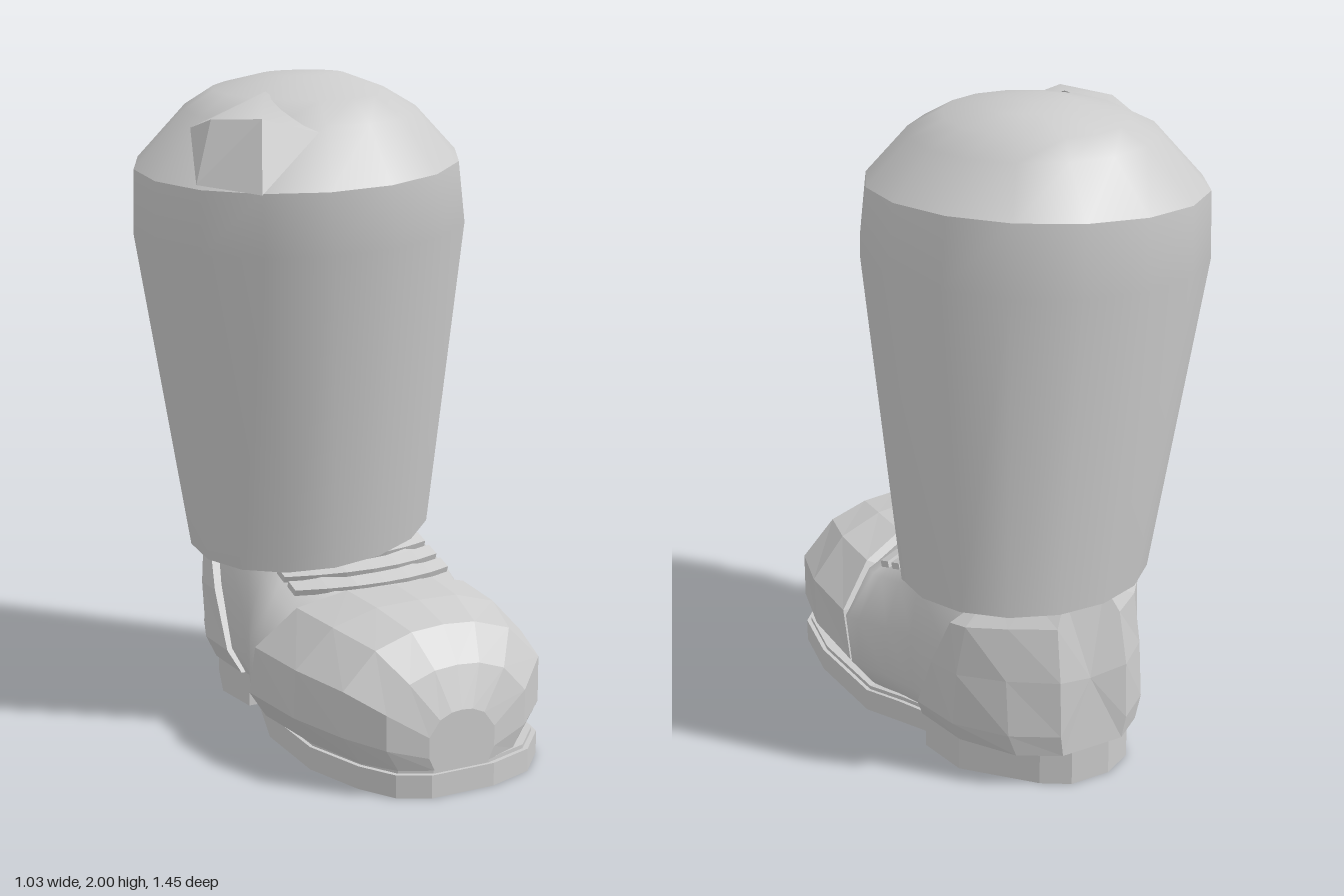
import * as THREE from 'three';

const SIDES = 16;

// Skin a list of closed rings of [x, y, z]; caps close the first and/or last ring
function loft(rings, capFirst = true, capLast = true) {
  const n = rings[0].length, pos = rings.flat(2), idx = [];
  for (let i = 0; i < rings.length - 1; i++) {
    for (let j = 0; j < n; j++) {
      const k = (j + 1) % n, a = i * n + j, b = i * n + k;
      idx.push(a, b, b + n, a, b + n, a + n);
    }
  }
  const cap = (i, flip) => {
    const c = pos.length / 3;
    for (let d = 0; d < 3; d++) pos.push(rings[i].reduce((s, p) => s + p[d], 0) / n);
    for (let j = 0; j < n; j++) {
      const a = i * n + j, b = i * n + (j + 1) % n;
      idx.push(c, flip ? b : a, flip ? a : b);
    }
  };
  if (capFirst) cap(0, true);
  if (capLast) cap(rings.length - 1, false);
  const g = new THREE.BufferGeometry();
  g.setAttribute('position', new THREE.Float32BufferAttribute(pos, 3));
  g.setIndex(idx);
  g.computeVertexNormals();
  return g;
}

// Ellipse whose height tilts with x and z; skew stretches it along one diagonal
function ellipse(cx, cz, rx, rz, y, tiltX = 0, tiltZ = 0, skew = 0) {
  return Array.from({ length: SIDES }, (_, i) => {
    const t = 0.1 + (i / SIDES) * Math.PI * 2, s = Math.sin(t), c = Math.cos(t + skew);
    return [cx + rx * s, y + tiltX * s + tiltZ * c, cz + rz * c];
  });
}

// Arched shoe section, blended from a round toe (k = 0) to an upright ankle (k = 1).
// The base corners are doubled so the underside keeps its own normals.
const TOE = [[0.83, 0], [1, 0.23], [1, 0.6], [0.68, 0.88], [0.32, 0.98]];
const ANKLE = [[0.9, 0], [1, 0.14], [1, 0.5], [0.94, 0.83], [0.6, 1]];
function arch(z, cx, w, base, top, k, lean = () => 0) {
  const half = TOE.map(([u, v], i) => [
    THREE.MathUtils.lerp(u, ANKLE[i][0], k), THREE.MathUtils.lerp(v, ANKLE[i][1], k)]);
  const pts = [...half.map(([u, v]) => [-u, v]), [0, 1], ...half.slice().reverse()];
  pts.push(pts[pts.length - 1], pts[0]);
  return pts.map(([u, v]) => [cx + u * w, base + v * (top - base), z + lean(v)]);
}

function triangles(...corners) {
  const g = new THREE.BufferGeometry();
  g.setAttribute('position', new THREE.Float32BufferAttribute(corners.flat(), 3));
  g.computeVertexNormals();
  return g;
}

export function createModel() {
  const model = new THREE.Group();
  const smooth = new THREE.MeshStandardMaterial({ color: 0xcccccc, side: THREE.DoubleSide });
  const faceted = new THREE.MeshStandardMaterial({ color: 0xcccccc, side: THREE.DoubleSide, flatShading: true });
  const add = (name, geometry, material) => {
    const mesh = new THREE.Mesh(geometry, material);
    mesh.name = name;
    model.add(mesh);
    return mesh;
  };

  // Trouser leg: wall, turned-in hem and rounded top
  const hem = ellipse(0.06, -0.26, 0.415, 0.395, 0.565, 0.03, -0.022, 0.18);
  const crease = ellipse(-0.015, -0.2, 0.5, 0.505, 1.745, 0.03, -0.03);
  add('trouserLeg', loft([
    hem, ellipse(0, -0.21, 0.518, 0.518, 1.55, 0.03, -0.02, 0.02), crease], false, false), smooth);
  add('trouserHem', loft([
    ellipse(0.07, -0.26, 0.3, 0.3, 0.58, 0.03, -0.022, 0.18), hem], false, false), smooth);
  add('trouserTop', loft([
    crease,
    ellipse(0, -0.2, 0.36, 0.37, 1.9, 0.005, -0.015),
    ellipse(0.01, -0.23, 0.26, 0.29, 1.957, 0.005, -0.01),
    ellipse(0.04, -0.26, 0.13, 0.11, 2.0)], false, true), smooth);

  // Pinched fold on the front right of the trouser top: steep sides and a soft roof
  const A = [-0.468, 1.72, 0.04], B = [-0.335, 1.7, 0.2], C = [-0.3, 1.91, 0.13];
  const D = [-0.39, 1.9, -0.02], E = [-0.13, 1.865, 0.16], F = [-0.4, 1.865, -0.14];
  const G = [-0.17, 1.965, -0.1];
  add('trouserFoldSides', triangles(A, B, C, A, C, D, B, E, C, A, D, F), faceted);
  const roof = triangles(D, C, E, G, F);
  roof.setIndex([1, 2, 3, 1, 3, 0, 0, 3, 4]);
  roof.computeVertexNormals();
  add('trouserFoldRoof', roof, smooth);

  // Sole: [z, right edge, left edge, underside, top], with the heel step
  const sole = [
    [0.73, -0.07, 0.14, 0, 0.07], [0.68, -0.16, 0.29, 0, 0.07], [0.565, -0.22, 0.395, 0, 0.07],
    [0.36, -0.27, 0.44, 0, 0.07], [0.06, -0.25, 0.44, 0, 0.07], [-0.1, -0.2, 0.41, 0.03, 0.1],
    [-0.22, -0.18, 0.385, 0.05, 0.115], [-0.221, -0.18, 0.385, 0, 0.115], [-0.39, -0.19, 0.365, 0, 0.115],
    [-0.585, -0.11, 0.2, 0, 0.115], [-0.638, -0.01, 0.12, 0, 0.115]];
  const slab = (rows) => loft(rows.map(([z, l, r, b, t]) => [[l, b, z], [l, t, z], [r, t, z], [r, b, z]]));
  add('sole', slab(sole), faceted);
  add('welt', slab(sole.map(([z, l, r, , t]) => [z * 0.985, l + 0.012, r - 0.012, t - 0.01, t + 0.012])), faceted);

  // Toe cap, its rear edge sweeping back towards the sole
  const sweep = (s) => (v) => -s * Math.pow(1 - v, 0.4);
  add('toeCap', loft([
    arch(0.722, 0.035, 0.11, 0.08, 0.25, 0),
    arch(0.675, 0.045, 0.235, 0.08, 0.37, 0),
    arch(0.57, 0.06, 0.335, 0.08, 0.46, 0),
    arch(0.42, 0.065, 0.392, 0.08, 0.493, 0.1, sweep(0.06)),
    arch(0.28, 0.068, 0.407, 0.08, 0.502, 0.15, sweep(0.2))]), faceted);

  // Vamp and ankle, running up inside the trouser leg
  add('vamp', loft([
    arch(0.3, 0.068, 0.39, 0.08, 0.475, 0.15, sweep(0.1)),
    arch(0.19, 0.07, 0.4, 0.08, 0.475, 0.2, sweep(0.1)),
    arch(0.06, 0.075, 0.39, 0.085, 0.515, 0.4),
    arch(-0.06, 0.085, 0.345, 0.1, 0.56, 0.7),
    arch(-0.18, 0.09, 0.32, 0.115, 0.62, 0.9),
    arch(-0.38, 0.09, 0.3, 0.115, 0.64, 1),
    arch(-0.5, 0.075, 0.24, 0.115, 0.62, 1)]), smooth);

  // Heel counter with a slanted front edge and rounded back
  const slant = (s) => (v) => s * v;
  const backCurve = (v) => 0.11 * (v - 0.25) ** 2;
  add('heelCounter', loft([
    arch(-0.22, 0.095, 0.335, 0.115, 0.61, 1, slant(-0.24)),
    arch(-0.41, 0.085, 0.32, 0.115, 0.61, 1, slant(-0.07)),
    arch(-0.575, 0.065, 0.235, 0.115, 0.61, 1, slant(0.04)),
    arch(-0.655, 0.055, 0.115, 0.115, 0.61, 1, backCurve)]), faceted);

  // Lace straps across the instep, bent down and back at both ends
  for (let i = 0; i < 4; i++) {
    const strap = new THREE.BoxGeometry(0.54, 0.02, 0.05, 6, 1, 1);
    const p = strap.attributes.position;
    for (let j = 0; j < p.count; j++) {
      const u = p.getX(j) / 0.27;
      p.setY(j, p.getY(j) - 0.035 * u * u);
      p.setZ(j, p.getZ(j) - 0.07 * u * u);
    }
    const mesh = add('laceStrap' + (i + 1), strap, faceted);
    mesh.position.set(0.08, 0.485 + i * 0.024, 0.17 - i * 0.07);
    mesh.rotation.x = 0.35;
  }
  return model;
}
